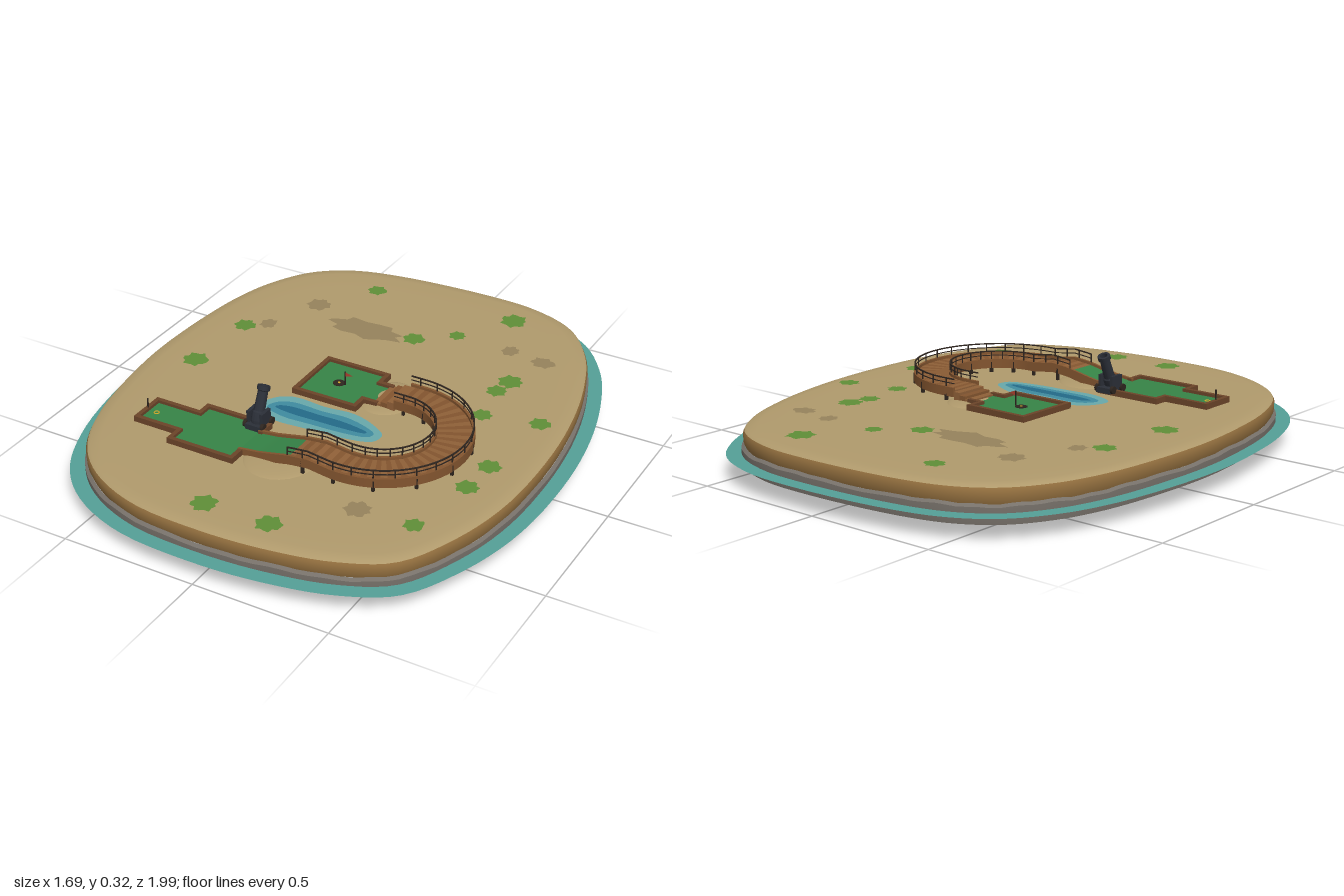
import * as THREE from 'three';
import { toCreasedNormals } from 'three/addons/utils/BufferGeometryUtils.js';

const mat = (color, side = THREE.FrontSide) => new THREE.MeshStandardMaterial({ color, side });
const M = {
  sand: mat(0xb09a6c), bank: mat(0x94703f), rock: mat(0x77716a), under: mat(0x2f2a27),
  sea: mat(0x55a097, THREE.DoubleSide), pond: mat(0x68a8aa, THREE.DoubleSide), mid: mat(0x3f8ba0, THREE.DoubleSide),
  deep: mat(0x236a88, THREE.DoubleSide), grass: mat(0x5f8f38), soil: mat(0x96835c), turf: mat(0x368447),
  wood: mat(0x83552f), plank: mat(0x8f6038), trim: mat(0x6b4429), dark: mat(0x2e251f), iron: mat(0x2b2f38),
  yellow: mat(0xd8b02c), red: mat(0xb04030, THREE.DoubleSide),
};

function add(parent, name, geometry, material, x = 0, y = 0, z = 0) {
  const m = new THREE.Mesh(geometry, material);
  m.name = name;
  m.position.set(x, y, z);
  parent.add(m);
  return m;
}
const box = (p, name, m, w, h, d, x, y, z) => add(p, name, new THREE.BoxGeometry(w, h, d), m, x, y, z);
const cyl = (p, name, m, r, h, x, y, z, r2 = r, n = 8) => add(p, name, new THREE.CylinderGeometry(r2, r, h, n), m, x, y, z);

// Smooth closed outline through a few [x, z] points
function outline(pts, n) {
  const c = new THREE.CatmullRomCurve3(pts.map(([x, z]) => new THREE.Vector3(x, 0, z)), true);
  return c.getPoints(n).slice(0, n).map(v => [v.x, v.z]);
}

const SHORE = outline([
  [0.08, -0.94], [0.3, -0.925], [0.48, -0.85], [0.61, -0.69], [0.69, -0.5], [0.75, -0.26], [0.78, 0.02], [0.77, 0.34],
  [0.71, 0.58], [0.61, 0.77], [0.45, 0.86], [0.24, 0.91], [0, 0.93], [-0.29, 0.91], [-0.5, 0.82], [-0.63, 0.69],
  [-0.72, 0.48], [-0.77, 0.21], [-0.785, 0], [-0.77, -0.29], [-0.74, -0.48], [-0.69, -0.63], [-0.6, -0.77],
  [-0.47, -0.86], [-0.29, -0.91]], 120);

// Skin over rings of the shore; each level is [y, scale, outward offset, waviness]
function loft(levels) {
  const n = SHORE.length, pos = [], idx = [];
  levels.forEach(([y, s, off = 0, wave = 0]) => SHORE.forEach(([x, z], i) => {
    const r = Math.hypot(x, z), k = s * (1 + off / r);
    pos.push(x * k, y + wave * (Math.sin(i * 1.7) + Math.sin(i * 0.63)), z * k);
  }));
  for (let l = 0; l < levels.length - 1; l++) for (let i = 0; i < n; i++) {
    const a = l * n + i, b = l * n + (i + 1) % n;
    idx.push(a, a + n, b + n, a, b + n, b);
  }
  const g = new THREE.BufferGeometry();
  g.setAttribute('position', new THREE.Float32BufferAttribute(pos, 3));
  g.setIndex(idx);
  return toCreasedNormals(g, 0.7);
}

// Rectangular bar swept along path points {x, y, z, nx, nz}
function sweep(path, offset, width, y0, height) {
  const pos = [], idx = [];
  for (const p of path) {
    const i = offset - width / 2, o = offset + width / 2;
    for (const [d, h] of [[i, y0], [o, y0], [o, y0 + height], [i, y0 + height]])
      pos.push(p.x + p.nx * d, p.y + h, p.z + p.nz * d);
  }
  const last = (path.length - 1) * 4;
  for (let k = 0; k < last; k += 4) for (let e = 0; e < 4; e++) {
    const a = k + e, b = k + (e + 1) % 4;
    idx.push(a, a + 4, b + 4, a, b + 4, b);
  }
  idx.push(0, 1, 2, 0, 2, 3, last, last + 2, last + 1, last, last + 3, last + 2);
  const g = new THREE.BufferGeometry();
  g.setAttribute('position', new THREE.Float32BufferAttribute(pos, 3));
  g.setIndex(idx);
  return toCreasedNormals(g, 0.6);
}

// Flat slab lying on the ground from [x, z] points
function slab(p, name, m, pts, y, depth = 0) {
  const s = new THREE.Shape(pts.map(([x, z]) => new THREE.Vector2(x, -z)));
  const g = depth ? new THREE.ExtrudeGeometry(s, { depth, bevelEnabled: false }) : new THREE.ShapeGeometry(s);
  return add(p, name, g.rotateX(-Math.PI / 2), m, 0, y, 0);
}

// Kerb boards along an open run of corners
function kerb(p, pts) {
  for (let i = 0; i < pts.length - 1; i++) {
    const [ax, az] = pts[i], [bx, bz] = pts[i + 1];
    const w = Math.abs(bx - ax) + 0.016, d = Math.abs(bz - az) + 0.016;
    box(p, 'kerb', M.trim, w, 0.026, d, (ax + bx) / 2, 0.176, (az + bz) / 2);
  }
}

// Irregular ground patch
function patch(p, name, m, x, z, rx, rz, y) {
  const pts = Array.from({ length: 18 }, (_, i) => {
    const a = i / 18 * Math.PI * 2, k = 0.85 + 0.15 * Math.sin(i * 2.3 + x * 40);
    return [x + Math.cos(a) * rx * k, z + Math.sin(a) * rz * k];
  });
  slab(p, name, m, pts, y);
}

// Deck centre line: straight ramp, half circle, straight return
const CX = 0.245, CZ = 0.19, R = 0.2425;
function deckPath() {
  const heights = [[-0.14, 0.179], [-0.06, 0.188], [0.06, 0.213], [0.13, 0.22], [0.22, 0.208], [1, 0.208]];
  const yAt = x => {
    const i = heights.findIndex(h => h[0] >= x - 1e-6), [bx, by] = heights[i], [ax, ay] = heights[Math.max(i - 1, 0)];
    return i ? ay + (by - ay) * (x - ax) / (bx - ax) : by;
  };
  const pts = [];
  for (let i = 0; i <= 20; i++) {
    const x = -0.14 + (CX + 0.14) * i / 20;
    pts.push({ x, y: yAt(x), z: CZ + R, nx: 0, nz: 1 });
  }
  for (let i = 1; i <= 40; i++) {
    const a = Math.PI / 2 - Math.PI * i / 40, nx = Math.cos(a), nz = Math.sin(a);
    pts.push({ x: CX + R * nx, y: 0.208, z: CZ + R * nz, nx, nz });
  }
  for (let i = 1; i <= 3; i++) pts.push({ x: CX - 0.055 * i / 3, y: 0.208, z: CZ - R, nx: 0, nz: -1 });
  return pts;
}

function buildDeck() {
  const g = new THREE.Group(), path = deckPath(), start = 10, deck = path.slice(start);
  g.name = 'raisedDeck';
  add(g, 'turfRamp', sweep(path.slice(0, start + 1), 0, 0.12, -0.012, 0.012), M.turf);
  for (let i = 0; i < deck.length - 1; i++)
    add(g, 'plank', sweep(deck.slice(i, i + 2), 0, 0.12, -0.012, 0.012), i % 2 ? M.wood : M.plank);
  for (const s of [-1, 1]) {
    add(g, 'sideBoard', sweep(path, s * 0.064, 0.01, -0.024, 0.034), M.wood);
    add(g, 'handrail', sweep(deck, s * 0.064, 0.005, 0.038, 0.004), M.dark);
    add(g, 'midRail', sweep(deck, s * 0.064, 0.003, 0.023, 0.003), M.dark);
    deck.forEach((p, i) => {
      const x = p.x + p.nx * s * 0.064, z = p.z + p.nz * s * 0.064;
      if (i % 3 === 0) cyl(g, 'railPost', M.dark, 0.0025, 0.04, x, p.y + 0.022, z, 0.0025, 6);
      if (i % 6 === 3) box(g, 'supportPost', M.dark, 0.01, p.y - 0.16, 0.01, x, (p.y + 0.16) / 2, z);
    });
  }
  deck.forEach((p, i) => { // cross beams
    if (i % 6 === 3) add(g, 'crossBeam', sweep([p, deck[i + 1]], 0, 0.13, -0.024, 0.012), M.trim);
  });
  for (let i = 0; i < 3; i++) { // steps down to the putting green
    const top = 0.203 - i * 0.009;
    box(g, 'step', i % 2 ? M.wood : M.plank, 0.027, top - 0.165, 0.13, 0.177 - i * 0.027, (top + 0.165) / 2, CZ - R);
  }
  return g;
}

function buildCannon() {
  const g = new THREE.Group();
  g.name = 'cannon';
  box(g, 'carriageBase', M.iron, 0.06, 0.02, 0.085, 0, 0.01, 0);
  for (const s of [-1, 1]) {
    box(g, 'carriageCheek', M.iron, 0.012, 0.045, 0.055, s * 0.026, 0.04, 0);
    for (const z of [-0.028, 0.028])
      cyl(g, 'wheel', M.dark, 0.014, 0.012, s * 0.034, 0.014, z, 0.014, 12).rotation.z = Math.PI / 2;
  }
  const profile = [[0, -0.04], [0.018, -0.035], [0.024, -0.02], [0.024, 0.01], [0.02, 0.015], [0.018, 0.085], [0.023, 0.088],
    [0.023, 0.104], [0.014, 0.104], [0.014, 0.06], [0, 0.06]].map(p => new THREE.Vector2(...p));
  const barrel = add(g, 'barrel', toCreasedNormals(new THREE.LatheGeometry(profile, 16), 0.5), M.iron, 0, 0.042, 0);
  barrel.rotation.x = -0.4;
  g.position.set(-0.165, 0.178, 0.328);
  return g;
}

export function createModel() {
  const root = new THREE.Group();
  root.name = 'golfIsland';

  // Island body in layers
  add(root, 'underside', loft([[0, 0], [0.016, 0.5], [0.032, 0.96], [0.042, 1, 0.004]]), M.under);
  add(root, 'rockBand', loft([[0.042, 1, 0.004], [0.07, 1, 0.008], [0.1, 1, 0.008, 0.002], [0.108, 1, -0.004, 0.002]]), M.rock);
  add(root, 'sandBank', loft([[0.104, 1, -0.006], [0.12, 1, 0], [0.148, 1, 0.001], [0.158, 1, -0.004]]), M.bank);
  add(root, 'sandTop', loft([[0.158, 1, -0.004], [0.164, 1, -0.014], [0.167, 1, -0.05], [0.168, 0.85], [0.168, 0]]), M.sand);
  add(root, 'shallowWater', loft([[0.08, 1, 0.062], [0.08, 1, -0.01]]), M.sea);

  // Ground patches
  for (const [x, z, r] of [[-0.29, -0.74, 0.04], [0.275, -0.78, 0.055], [0.14, -0.575, 0.035], [0.01, -0.475, 0.045],
    [0.455, -0.37, 0.05], [0.44, -0.29, 0.042], [-0.59, -0.255, 0.045], [-0.61, 0.05, 0.052], [0.465, -0.12, 0.04],
    [0.665, -0.165, 0.042], [0.63, 0.16, 0.045], [0.62, 0.305, 0.045], [0.57, 0.58, 0.04], [0.165, 0.8, 0.05], [-0.075, 0.805, 0.052]])
    patch(root, 'grassPatch', M.grass, x, z, r, r, 0.1705);
  for (const [x, z, rx, rz] of [[-0.18, -0.45, 0.17, 0.07], [-0.43, -0.53, 0.05, 0.05], [0.5, -0.55, 0.05, 0.04],
    [-0.52, -0.31, 0.035, 0.04], [0.37, 0.59, 0.05, 0.05], [0.36, -0.57, 0.035, 0.04]])
    patch(root, 'darkSand', M.soil, x, z, rx, rz, 0.1695);
  for (const [x, z, rx, rz] of [[0, 0.45, 0.13, 0.14], [0.13, -0.06, 0.1, 0.12]])
    add(root, 'sandMound', new THREE.SphereGeometry(1, 24, 8, 0, Math.PI * 2, 0, Math.PI / 2), M.sand, x, 0.165, z).scale.set(rx, 0.014, rz);

  // Pond in nested depths
  const pond = outline([[-0.24, 0.22], [-0.22, 0.14], [-0.16, 0.1], [-0.03, 0.105], [0.08, 0.095], [0.18, 0.13], [0.23, 0.17],
    [0.22, 0.22], [0.12, 0.25], [-0.02, 0.26], [-0.15, 0.265]], 44);
  [[1, 1, M.pond], [0.87, 0.6, M.mid], [0.76, 0.25, M.deep]].forEach(([sx, sz, m], i) =>
    slab(root, 'pond', m, pond.map(([x, z]) => [x * sx, 0.183 + (z - 0.183) * sz]), 0.1715 + i * 0.001));

  // Tee lawn and putting green with kerbs, each open where the deck joins
  const tee = [[-0.13, 0.37], [-0.13, 0.318], [-0.377, 0.318], [-0.377, 0.37], [-0.553, 0.37],
    [-0.553, 0.498], [-0.377, 0.498], [-0.377, 0.557], [-0.13, 0.557], [-0.13, 0.498]];
  const green = [[0.115, -0.113], [0.065, -0.113], [0.065, -0.173], [-0.177, -0.173], [-0.177, 0.068], [0.065, 0.068], [0.065, 0.01], [0.115, 0.01]];
  slab(root, 'teeLawn', M.turf, tee, 0.16, 0.018);
  slab(root, 'puttingGreen', M.turf, green, 0.16, 0.018);
  kerb(root, tee);
  kerb(root, green);

  root.add(buildDeck(), buildCannon());

  // Hole with rim and flag, tee ring and marker post
  cyl(root, 'hole', M.dark, 0.022, 0.002, -0.065, 0.179, -0.05, 0.022, 20);
  cyl(root, 'holeCentre', M.yellow, 0.005, 0.002, -0.065, 0.1805, -0.05);
  cyl(root, 'flagPole', M.dark, 0.002, 0.055, -0.04, 0.205, -0.05);
  slab(root, 'flag', M.red, [[0, 0], [0.028, 0.008], [0, 0.016]], 0).rotation.x = Math.PI / 2;
  root.children.at(-1).position.set(-0.038, 0.23, -0.05);
  add(root, 'teeRing', new THREE.TorusGeometry(0.009, 0.002, 6, 16).rotateX(Math.PI / 2), M.yellow, -0.515, 0.179, 0.435);
  cyl(root, 'markerPost', M.dark, 0.003, 0.06, -0.55, 0.195, 0.435);
  return root;
}
